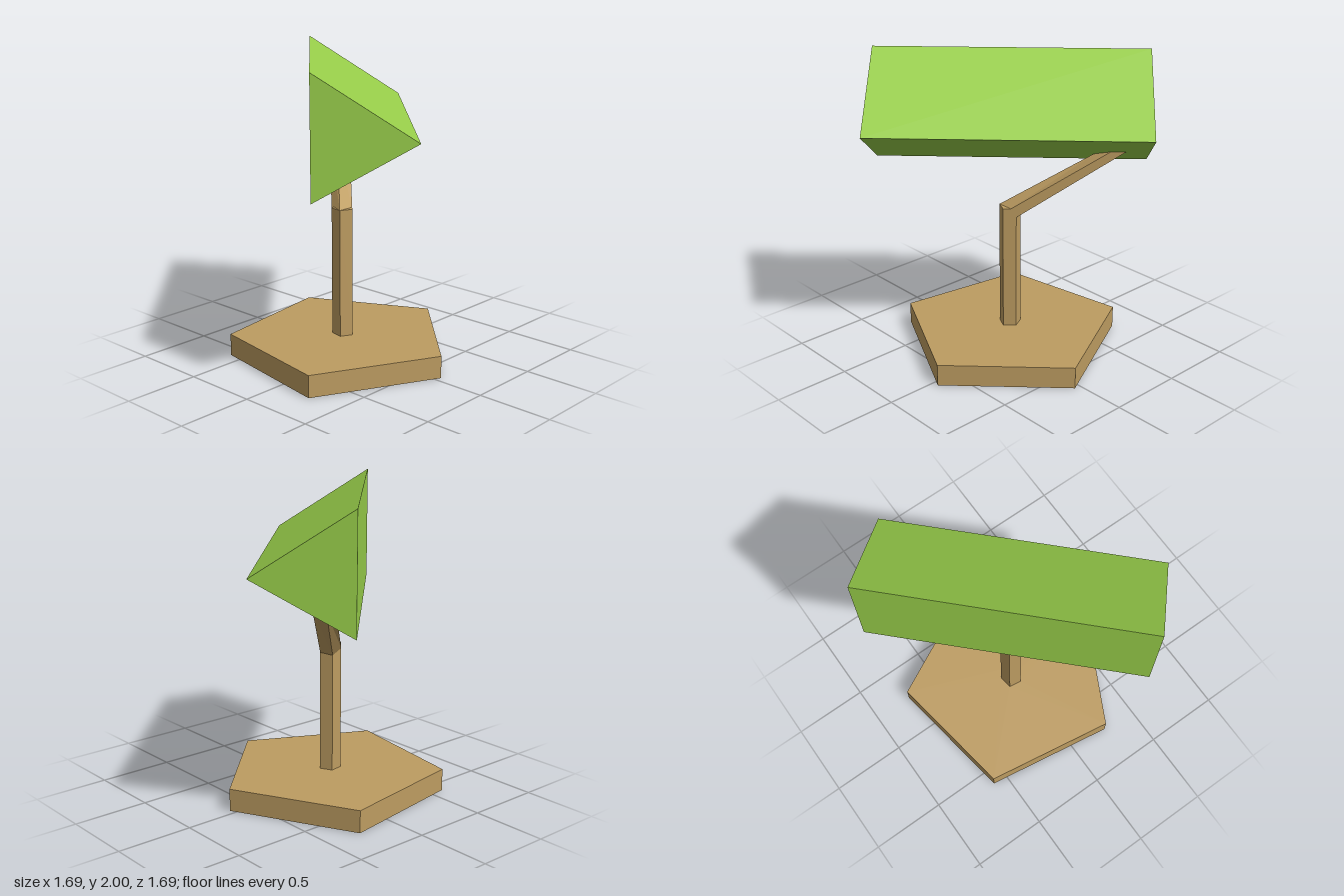
import * as THREE from 'three';

// Flat-shaded surface between two matching rings, listed clockwise as seen from the end ring
function loft(start, end, capStart = false, capEnd = false) {
  const pos = [];
  const tri = (...pts) => pts.forEach((p) => pos.push(p.x, p.y, p.z));
  const n = start.length;
  for (let i = 0; i < n; i++) {
    const j = (i + 1) % n;
    tri(start[i], end[i], end[j]);
    tri(start[i], end[j], start[j]);
    if (i > 0 && i < n - 1) {
      if (capStart) tri(start[0], start[i], start[j]);
      if (capEnd) tri(end[0], end[j], end[i]);
    }
  }
  const geometry = new THREE.BufferGeometry();
  geometry.setAttribute('position', new THREE.Float32BufferAttribute(pos, 3));
  geometry.computeVertexNormals();
  return geometry;
}

// Level pentagon with one corner pointing to the front at -x
function pentagon(radius, y) {
  return Array.from({ length: 5 }, (_, i) => {
    const a = THREE.MathUtils.degToRad(-81 + i * 72);
    return new THREE.Vector3(-0.074 + radius * Math.cos(a), y, 0.074 + radius * Math.sin(a));
  });
}

export function createModel() {
  const group = new THREE.Group();
  const wood = new THREE.MeshStandardMaterial({ color: 0xbd9c61, flatShading: true, side: THREE.DoubleSide });
  wood.name = 'tan wood';
  const leaf = new THREE.MeshStandardMaterial({ color: 0x98ce4a, flatShading: true });
  leaf.name = 'leaf green';

  const add = (name, geometry, material) => {
    const mesh = new THREE.Mesh(geometry, material);
    mesh.name = name;
    group.add(mesh);
  };

  // Five-sided base, open underneath, with the hollow trunk rising from its top
  const baseTop = 0.147;
  add('baseWalls', loft(pentagon(0.744, 0), pentagon(0.744, baseTop)), wood);
  add('baseTop', loft(pentagon(0.744, baseTop), pentagon(0.073, baseTop)), wood);
  add('trunk', loft(pentagon(0.073, baseTop), pentagon(0.073, 1), false, true), wood);

  // Slanting, slightly tapering branch that ends inside the crown
  const heights = [0.94, 0.968, 1, 0.96, 0.93];
  const reach = [0.49, 0.484, 0.431, 0.41, 0.443];
  const slopes = [0.945, 0.9, 0.836, 0.9, 0.97];
  const branchStart = pentagon(0.073, 0).map((p, i) => p.setY(heights[i]));
  const branchEnd = branchStart.map((p, i) => {
    const t = reach[i] + 0.02;
    return new THREE.Vector3(p.x - t, p.y + t * slopes[i], p.z - t);
  });
  add('branch', loft(branchStart, branchEnd), wood);

  // Triangular prism crown lying along the diagonal
  const crownBack = [
    new THREE.Vector3(-0.845, 2, -0.408),
    new THREE.Vector3(-0.408, 1.597, -0.845),
    new THREE.Vector3(-0.845, 1.257, -0.408),
  ];
  const crownFront = crownBack.map((p) => p.clone().add(new THREE.Vector3(1.253, 0, 1.253)));
  add('crown', loft(crownBack, crownFront, true, true), leaf);

  return group;
}
